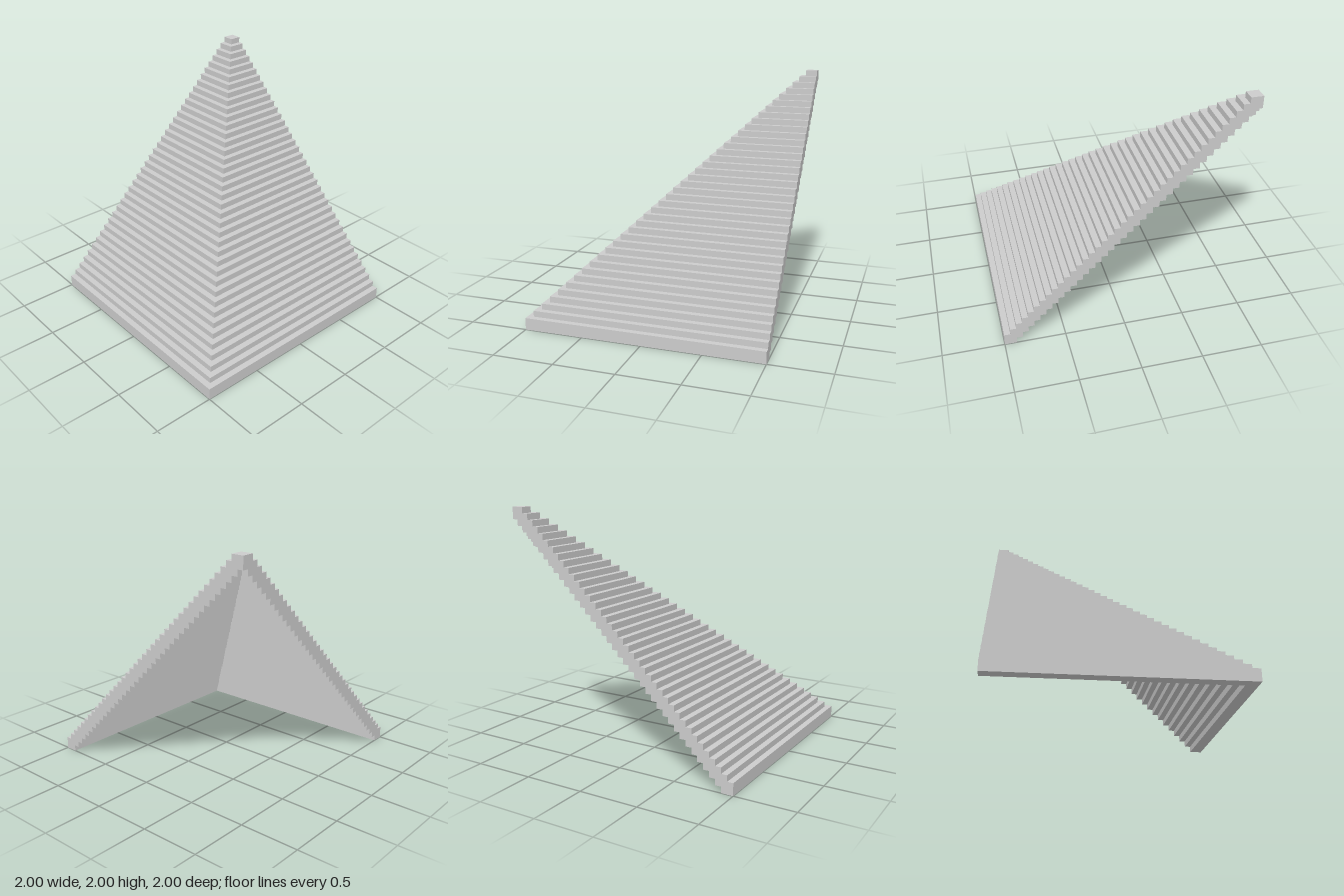
import * as THREE from 'three';

const STEPS = 39;
const RISE = 0.05;   // offset of each course, up and inward
const SIZE = 0.1;    // square section of each course

// L-shaped course: one arm along the front, one along the left side
function courseGeometry(outer) {
  const inner = outer - SIZE;
  // the topmost course shrinks to a plain square block
  const plan = inner < -0.999
    ? [[-1, -1], [outer, -1], [outer, outer], [-1, outer]]
    : [[-1, inner], [inner, inner], [inner, -1], [outer, -1], [outer, outer], [-1, outer]];
  // shape y becomes -z once the extrusion is laid flat
  const shape = new THREE.Shape(plan.map(([x, z]) => new THREE.Vector2(x, -z)));
  const geometry = new THREE.ExtrudeGeometry(shape, { depth: SIZE, bevelEnabled: false });
  return geometry.rotateX(-Math.PI / 2);
}

export function createModel() {
  const model = new THREE.Group();
  model.name = 'steppedCornerRoof';
  const material = new THREE.MeshStandardMaterial({ color: 0xcccccc, flatShading: true });

  // Overlapping courses climb from the eaves to the peak at the back right corner
  for (let i = 0; i < STEPS; i++) {
    const course = new THREE.Mesh(courseGeometry(1 - i * RISE), material);
    course.position.y = i * RISE;
    course.name = i === 0 ? 'eavesCourse' : i === STEPS - 1 ? 'peakBlock' : `roofCourse${i}`;
    model.add(course);
  }
  return model;
}
